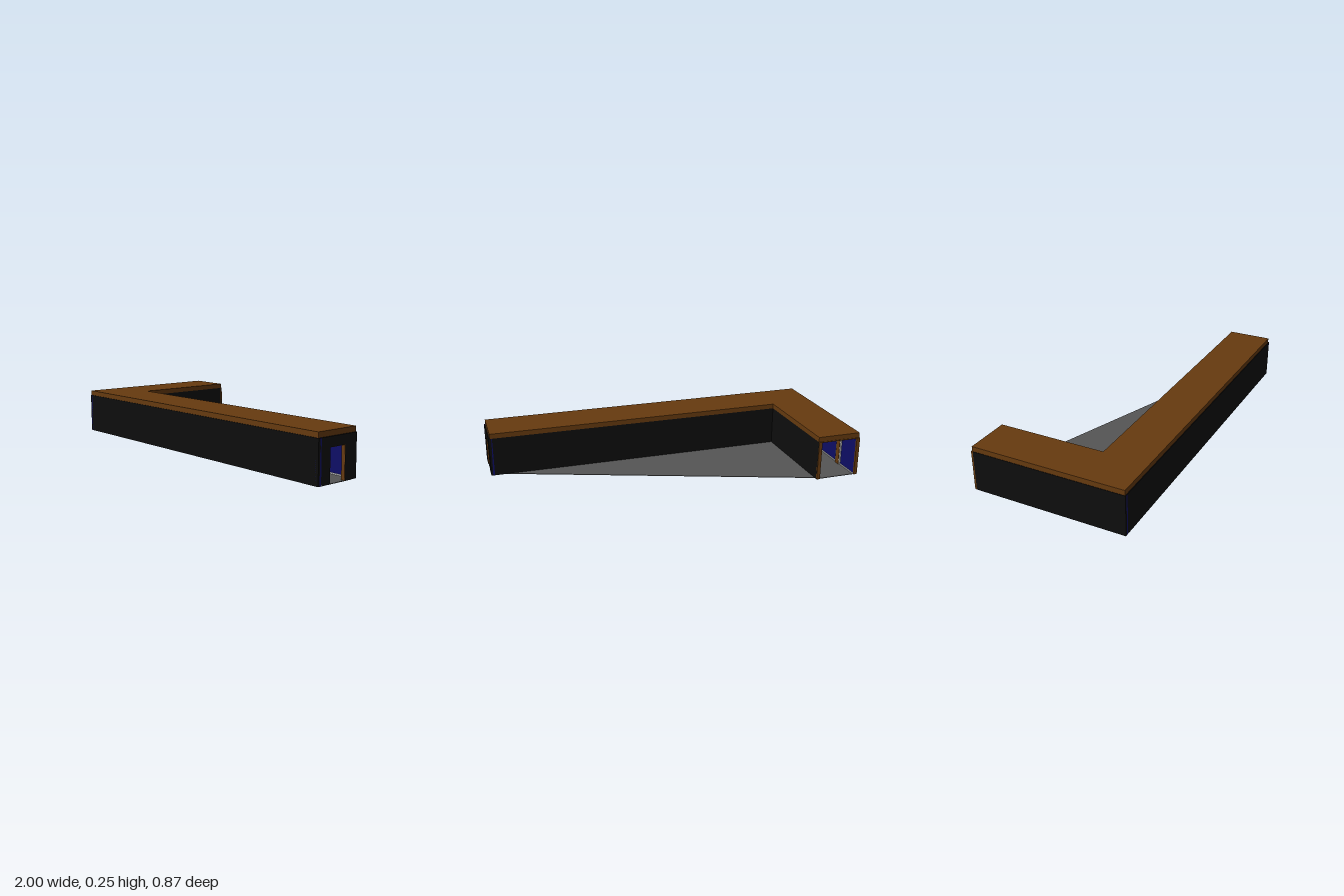
import * as THREE from 'three';

const mat = (color) => new THREE.MeshStandardMaterial({ color, side: THREE.DoubleSide });

export function createModel() {
  const model = new THREE.Group();
  const black = mat(0x0d0d0d), blue = mat(0x0d0d66), brown = mat(0x663a0f);
  const grey = mat(0x555555), trim = mat(0xcccccc);

  const add = (name, geometry, material) => {
    const mesh = new THREE.Mesh(geometry, material);
    mesh.name = name;
    model.add(mesh);
    return mesh;
  };
  // Box given by its limits on each axis
  const box = (name, material, x0, x1, y0, y1, z0, z1) =>
    add(name, new THREE.BoxGeometry(x1 - x0, y1 - y0, z1 - z0), material)
      .position.set((x0 + x1) / 2, (y0 + y1) / 2, (z0 + z1) / 2);
  // Flat slab from a plan outline of [x, z] points
  const slab = (name, material, plan, y0, y1) => {
    const shape = new THREE.Shape(plan.map(([x, z]) => new THREE.Vector2(x, -z)));
    const geometry = new THREE.ExtrudeGeometry(shape, { depth: y1 - y0, bevelEnabled: false });
    add(name, geometry.rotateX(-Math.PI / 2).translate(0, y0, 0), material);
  };

  const top = 0.226, base = 0.002, T = 0.01;
  const left = -1, inX = -0.745, right = 1, back = -0.432, inZ = 0.175, front = 0.434;

  // Floor fills the inner corner with one diagonal edge
  slab('floor', grey, [[-0.998, front - 0.002], [0.998, front - 0.002], [0.998, 0.21],
    [-0.765, -0.417], [-0.765, -0.428], [-0.998, -0.428]], 0, 0.003);

  // L-shaped roof and ceiling
  const plan = (e) => [[left + e, front - e], [right - e, front - e], [right - e, inZ + e],
    [inX - e, inZ + e], [inX - e, back + e], [left + e, back + e]];
  slab('roof', brown, [[-0.998, 0.43], [0.993, 0.43], [0.993, inZ],
    [inX, inZ], [inX, -0.43], [-0.998, -0.43]], top, 0.254);
  slab('ceiling', grey, plan(0.018), top - 0.003, top - 0.0005);

  // Walls: black outside, blue lining, pale skirting
  const wallX = (x, s, z0, z1) => { // s points into the corridor
    const layer = (name, m, a, b, y1) =>
      box(name, m, Math.min(x + s * a, x + s * b), Math.max(x + s * a, x + s * b), base, y1, z0, z1);
    layer('outerWall', black, 0, T, top);
    layer('wallLining', blue, T, 2 * T, top);
    layer('skirting', trim, 2 * T, 2 * T + 0.004, 0.009);
  };
  const wallZ = (z, s, x0, x1) => {
    const layer = (name, m, a, b, y1) =>
      box(name, m, x0, x1, base, y1, Math.min(z + s * a, z + s * b), Math.max(z + s * a, z + s * b));
    layer('outerWall', black, 0, T, top);
    layer('wallLining', blue, T, 2 * T, top);
    layer('skirting', trim, 2 * T, 2 * T + 0.004, 0.009);
  };
  wallX(left, 1, back, front);
  wallX(inX, -1, back, inZ + T);
  wallZ(front, -1, left + T, right);
  wallZ(inZ, 1, inX - T, right);

  // End wall with a doorway
  const d0 = 0.253, d1 = 0.356, dTop = 0.176;
  const endWall = (name, material, x, depth) => {
    const s = new THREE.Shape([[inZ, base], [d0, base], [d0, dTop], [d1, dTop],
      [d1, base], [front, base], [front, top], [inZ, top]].map(([z, y]) => new THREE.Vector2(-z, y)));
    const g = new THREE.ExtrudeGeometry(s, { depth, bevelEnabled: false });
    add(name, g.rotateY(Math.PI / 2).translate(x, 0, 0), material);
  };
  endWall('endWall', black, right - T, T);
  endWall('endWallLining', blue, right - 2 * T, T);
  box('doorJamb', brown, right - 0.022, right - 0.001, base, dTop, d0, d0 + 0.002);
  box('doorJamb', brown, right - 0.022, right - 0.001, base, dTop, d1 - 0.002, d1);
  box('doorLintel', brown, right - 0.022, right - 0.001, dTop - 0.002, dTop, d0, d1);

  // Brown frame around the open back end
  for (const x of [left, inX - 0.02]) box('endPost', brown, x, x + 0.02, base, top, -0.436, back + 0.006);
  box('endLintel', brown, left, inX, top - 0.006, top, back, back + 0.008);

  // Interior wall posts with pale edging, tied by ceiling beams
  const H = 0.0175, E = 0.007, P = 0.012;
  const postX = (x, s, z) => {
    const a = Math.min(x, x + s * P), b = Math.max(x, x + s * P);
    box('wallPost', brown, a, b, base, top, z - H, z + H);
    for (const k of [-1, 1]) {
      const c = z + k * (H + E / 2);
      box('postEdging', trim, a + 0.002, b - 0.002, base, top, c - E / 2, c + E / 2);
    }
  };
  const postZ = (z, s, x) => {
    const a = Math.min(z, z + s * P), b = Math.max(z, z + s * P);
    box('wallPost', brown, x - H, x + H, base, top, a, b);
    for (const k of [-1, 1]) {
      const c = x + k * (H + E / 2);
      box('postEdging', trim, c - E / 2, c + E / 2, base, top, a + 0.002, b - 0.002);
    }
  };
  for (const z of [-0.26, 0.033, 0.327]) {
    postX(left + 2 * T, 1, z);
    if (z < inZ) {
      postX(inX - 2 * T, -1, z);
      box('ceilingBeam', brown, left + 2 * T, inX - 2 * T, 0.205, top, z - H, z + H);
    }
  }
  for (let i = 0; i < 6; i++) {
    const x = -0.64 + i * 0.293;
    postZ(front - 2 * T, -1, x);
    postZ(inZ + 2 * T, 1, x);
    box('ceilingBeam', brown, x - H, x + H, 0.205, top, inZ + 2 * T, front - 2 * T);
  }
  return model;
}
